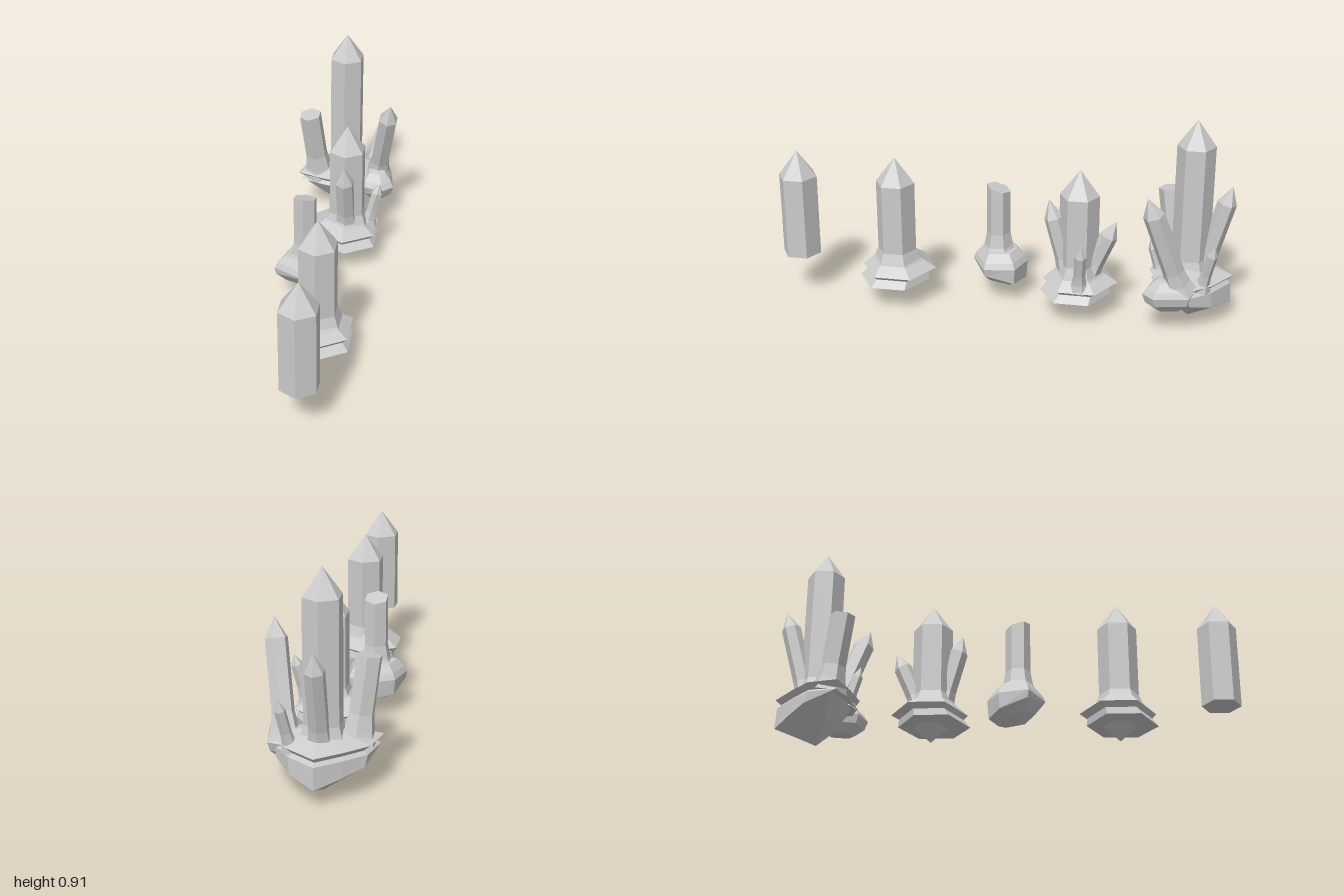
import * as THREE from 'three';

const material = new THREE.MeshStandardMaterial({ color: 0xcccccc, flatShading: true, side: THREE.DoubleSide });

function addMesh(parent, name, geometry) {
  const flat = geometry.index ? geometry.toNonIndexed() : geometry;
  flat.computeVertexNormals();
  const mesh = new THREE.Mesh(flat, material);
  mesh.name = name;
  parent.add(mesh);
  return mesh;
}

// Six-sided crystal from base to tip; point = height of the pyramid (0 = broken flat),
// flare = height of the widened foot, slant = tilt of a broken end
function crystal(parent, name, base, tip, r, { point = 0, flare = 0, foot = 1.6, slant = 0 } = {}) {
  const from = new THREE.Vector3(...base);
  const axis = new THREE.Vector3(...tip).sub(from);
  const h = axis.length();
  const profile = [[0, 0], [flare ? r * foot : r, 0]];
  if (flare) profile.push([r * 1.22, flare * 0.45], [r, flare]);
  profile.push([r, h - point], [0, h]);
  const geometry = new THREE.LatheGeometry(profile.map(([x, y]) => new THREE.Vector2(x, y)), 6);
  const p = geometry.attributes.position;
  for (let i = 0; i < p.count; i++) {
    if (slant && p.getY(i) > h - 0.001) p.setY(i, h + slant * p.getZ(i));
  }
  const mesh = addMesh(parent, name, geometry);
  mesh.position.copy(from);
  mesh.quaternion.setFromUnitVectors(new THREE.Vector3(0, 1, 0), axis.normalize());
}

// Faceted rock: one outline (x, z) lofted through layers [y, scale, dx, dz, tilt]
function rock(parent, name, [cx, cz], outline, layers) {
  const n = outline.length, positions = [], index = [];
  layers.forEach(([y, s, dx = 0, dz = 0, tilt = 0], j) => {
    outline.forEach(([x, z], i) => {
      positions.push(cx + x * s + dx, y + tilt * z * s, cz + z * s + dz);
      if (j === layers.length - 1) return;
      const a = j * n + i, b = j * n + (i + 1) % n;
      index.push(a, b, b + n, a, b + n, a + n);
    });
  });
  const geometry = new THREE.BufferGeometry();
  geometry.setAttribute('position', new THREE.Float32BufferAttribute(positions, 3));
  geometry.setIndex(index);
  addMesh(parent, name, geometry);
}

// Crystal standing on a notched hexagonal rock, centred at depth z
function rootedCrystal(parent, z) {
  crystal(parent, 'mainCrystal', [0.057, 0.17, z], [0.057, 0.685, z], 0.086, { point: 0.115, flare: 0.085, foot: 1.35 });
  rock(parent, 'baseRock', [0.047, z],
    [[0.01, 0.165], [0.145, 0.08], [0.145, -0.08], [0, -0.165], [-0.15, -0.08], [-0.15, 0.075]],
    [[0.038, 0], [0.105, 0.46], [0.114, 0.94, 0.012, 0.012], [0.145, 0.84], [0.165, 1, 0, -0.008], [0.2, 0.72], [0.235, 0.5, 0.01], [0.24, 0, 0.01]]);
}

export function createModel() {
  const model = new THREE.Group();
  const group = (name) => {
    const g = new THREE.Group();
    g.name = name;
    model.add(g);
    return g;
  };

  // Loose crystal at the front
  const loose = group('looseCrystal');
  crystal(loose, 'crystal', [0.057, 0.2, 0.915], [0.057, 0.685, 0.915], 0.086, { point: 0.115 });

  // Single crystal on its rock
  rootedCrystal(group('singleCrystal'), 0.475);

  // Broken crystal on a rounded rock
  const broken = group('brokenCrystal');
  crystal(broken, 'brokenShaft', [-0.073, 0.2, 0.04], [-0.073, 0.522, 0.04], 0.053, { flare: 0.11, foot: 1.7, slant: 0.28 });
  rock(broken, 'baseRock', [-0.075, 0.04],
    [[0.005, 0.115], [0.13, 0.045], [0.11, -0.09], [-0.005, -0.13], [-0.095, -0.08], [-0.13, 0.045]],
    [[0.07, 0], [0.095, 0.6, 0, 0, 0.25], [0.13, 0.95, 0, 0, 0.3], [0.175, 1], [0.2, 0.9], [0.235, 0.66], [0.24, 0]]);

  // Medium cluster: main crystal with three leaning ones
  const medium = group('mediumCluster');
  rootedCrystal(medium, -0.335);
  crystal(medium, 'frontCrystal', [0.06, 0.16, -0.305], [0.06, 0.542, -0.203], 0.043, { point: 0.085, flare: 0.12 });
  crystal(medium, 'backCrystal', [0.065, 0.16, -0.365], [0.065, 0.462, -0.495], 0.039, { point: 0.075, flare: 0.11 });
  crystal(medium, 'sideCrystal', [0.15, 0.17, -0.35], [0.205, 0.39, -0.362], 0.026, { point: 0.05, flare: 0.08, foot: 1.8 });

  // Large cluster at the back
  const large = group('largeCluster');
  crystal(large, 'mainCrystal', [-0.017, 0.18, -0.813], [-0.017, 0.915, -0.813], 0.082, { point: 0.115, flare: 0.11, foot: 1.4 });
  crystal(large, 'leftFrontCrystal', [0.14, 0.19, -0.785], [0.215, 0.645, -0.635], 0.047, { point: 0.085, flare: 0.11 });
  crystal(large, 'backCrystal', [-0.015, 0.18, -0.855], [-0.015, 0.627, -0.975], 0.042, { point: 0.08, flare: 0.12 });
  crystal(large, 'brokenCrystal', [-0.14, 0.19, -0.755], [-0.178, 0.537, -0.705], 0.053, { flare: 0.12, foot: 1.5 });
  crystal(large, 'smallFrontCrystal', [-0.01, 0.18, -0.695], [-0.01, 0.368, -0.64], 0.024, { point: 0.05, flare: 0.07, foot: 1.8 });
  crystal(large, 'smallBackCrystal', [0.1, 0.19, -0.87], [0.14, 0.412, -0.92], 0.023, { point: 0.05, flare: 0.08, foot: 1.8 });
  rock(large, 'baseRock', [-0.015, -0.815],
    [[0.015, 0.175], [0.15, 0.12], [0.205, 0], [0.125, -0.1], [0, -0.185], [-0.105, -0.1], [-0.19, -0.02], [-0.222, 0.11], [-0.1, 0.15]],
    [[0.003, 0], [0.065, 0.45, 0, 0, 0.3], [0.135, 0.9, 0, -0.015, 0.32], [0.175, 0.95], [0.19, 0.86], [0.213, 1], [0.235, 0.72], [0.26, 0.42], [0.265, 0]]);

  // Rounded side rock under the leaning crystal
  rock(large, 'sideRock', [0.145, -0.735],
    [[0.04, 0.11], [0.088, 0.06], [0.06, -0.09], [-0.02, -0.11], [-0.08, -0.02], [-0.06, 0.08]],
    [[0.1, 0], [0.115, 0.5], [0.15, 0.88], [0.19, 1], [0.215, 0.85], [0.25, 0.5], [0.26, 0]]);

  return model;
}
